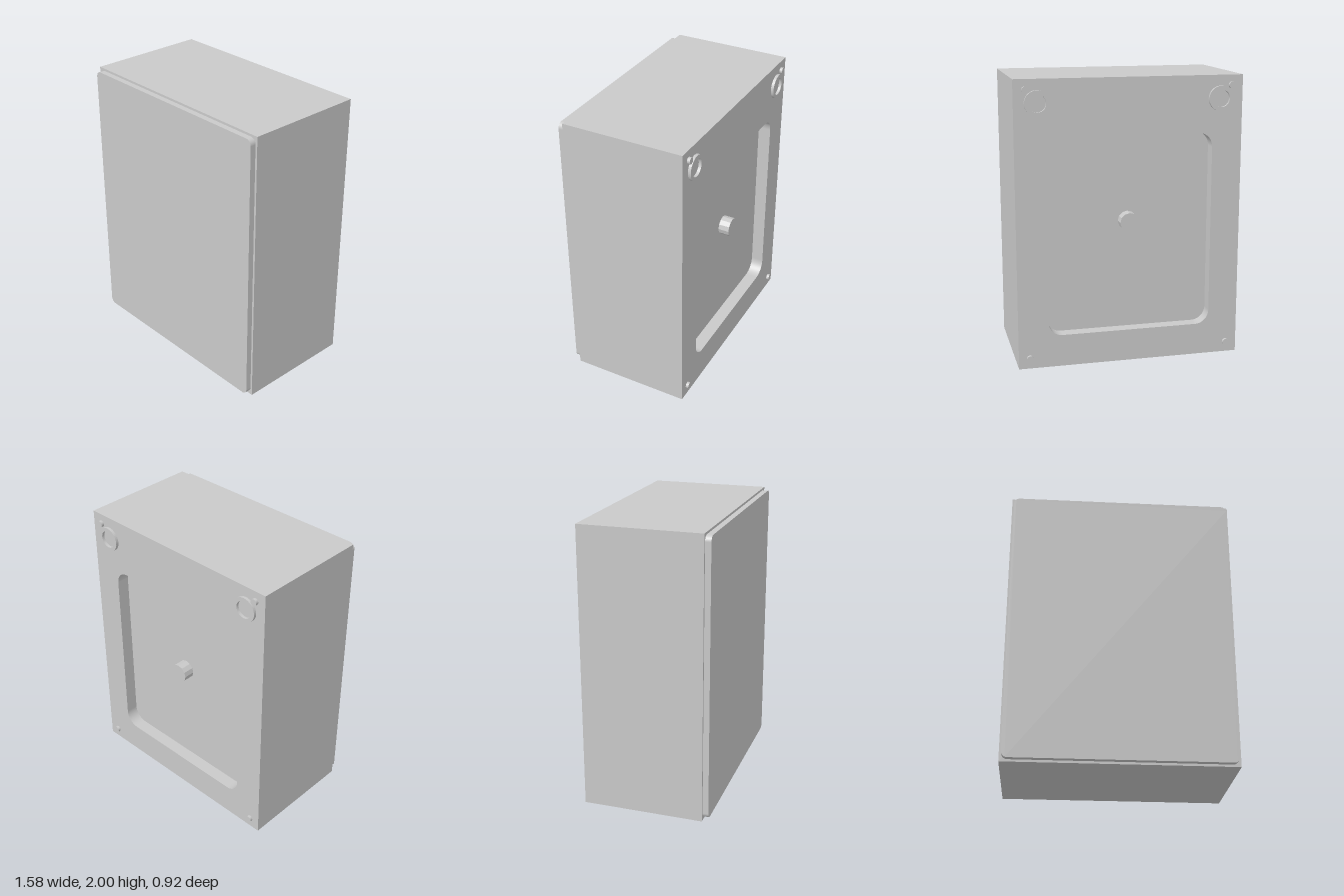
import * as THREE from 'three';

// Rounded rectangle outline centred on (cx, cy)
function roundedRect(target, cx, cy, w, h, r) {
  const x = w / 2 - r, y = h / 2 - r;
  target.absarc(cx + x, cy + y, r, 0, Math.PI / 2);
  target.absarc(cx - x, cy + y, r, Math.PI / 2, Math.PI);
  target.absarc(cx - x, cy - y, r, Math.PI, Math.PI * 1.5);
  target.absarc(cx + x, cy - y, r, Math.PI * 1.5, Math.PI * 2);
  target.closePath();
  return target;
}

export function createModel() {
  const group = new THREE.Group();
  const grey = new THREE.MeshStandardMaterial({ color: 0xc9c9c9 });
  grey.name = 'light grey';

  const BACK = -0.438, FRONT = 0.418, FLOOR = -0.348, KNOB_END = -0.426, FOOT = 0.02;

  function add(name, geometry, x = 0, y = 0, z = 0) {
    const mesh = new THREE.Mesh(geometry, grey);
    mesh.name = name;
    mesh.position.set(x, y, z);
    group.add(mesh);
  }
  const extrude = (shape, depth) =>
    new THREE.ExtrudeGeometry(shape, { depth, bevelEnabled: false, curveSegments: 24 });

  // Cabinet body; its back face is the floor of the rear recess
  add('body', new THREE.BoxGeometry(1.58, 2, FRONT - FLOOR), 0, 1, (FRONT + FLOOR) / 2);

  // Rear frame around the recess
  const frame = new THREE.Shape();
  frame.moveTo(-0.79, 0).lineTo(0.79, 0).lineTo(0.79, 2).lineTo(-0.79, 2).closePath();
  frame.holes.push(roundedRect(new THREE.Path(), 0, 0.917, 1.16, 1.382, 0.1));
  add('rearFrame', extrude(frame, FLOOR - BACK), 0, 0, BACK);

  // Door slab on the front
  const door = roundedRect(new THREE.Shape(), 0, 1.0, 1.55, 1.968, 0.04);
  add('door', extrude(door, 0.459 - FRONT), 0, 0, FRONT);

  // Faceted knob in the middle of the recess, set slightly into its floor
  const knobLength = FLOOR + 0.01 - KNOB_END;
  const knob = new THREE.CylinderGeometry(0.067, 0.067, knobLength, 12).toNonIndexed();
  knob.rotateX(-Math.PI / 2);
  knob.computeVertexNormals();
  add('knob', knob, 0, 1.0, KNOB_END + knobLength / 2);

  // Raised rings and round studs at the back corners
  const ring = new THREE.Shape().absarc(0, 0, 0.086, 0, Math.PI * 2);
  ring.holes.push(new THREE.Path().absarc(0, 0, 0.06, 0, Math.PI * 2));
  const ringGeometry = extrude(ring, FOOT);
  const stud = new THREE.CylinderGeometry(0.023, 0.023, FOOT, 20).rotateX(-Math.PI / 2);
  for (const side of [-1, 1]) {
    const label = side > 0 ? 'Left' : 'Right';
    add('mountRing' + label, ringGeometry, side * 0.633, 1.841, BACK - FOOT);
    add('upperStud' + label, stud, side * 0.711, 1.93, BACK - FOOT / 2);
    add('lowerStud' + label, stud, side * 0.711, 0.075, BACK - FOOT / 2);
  }
  return group;
}
